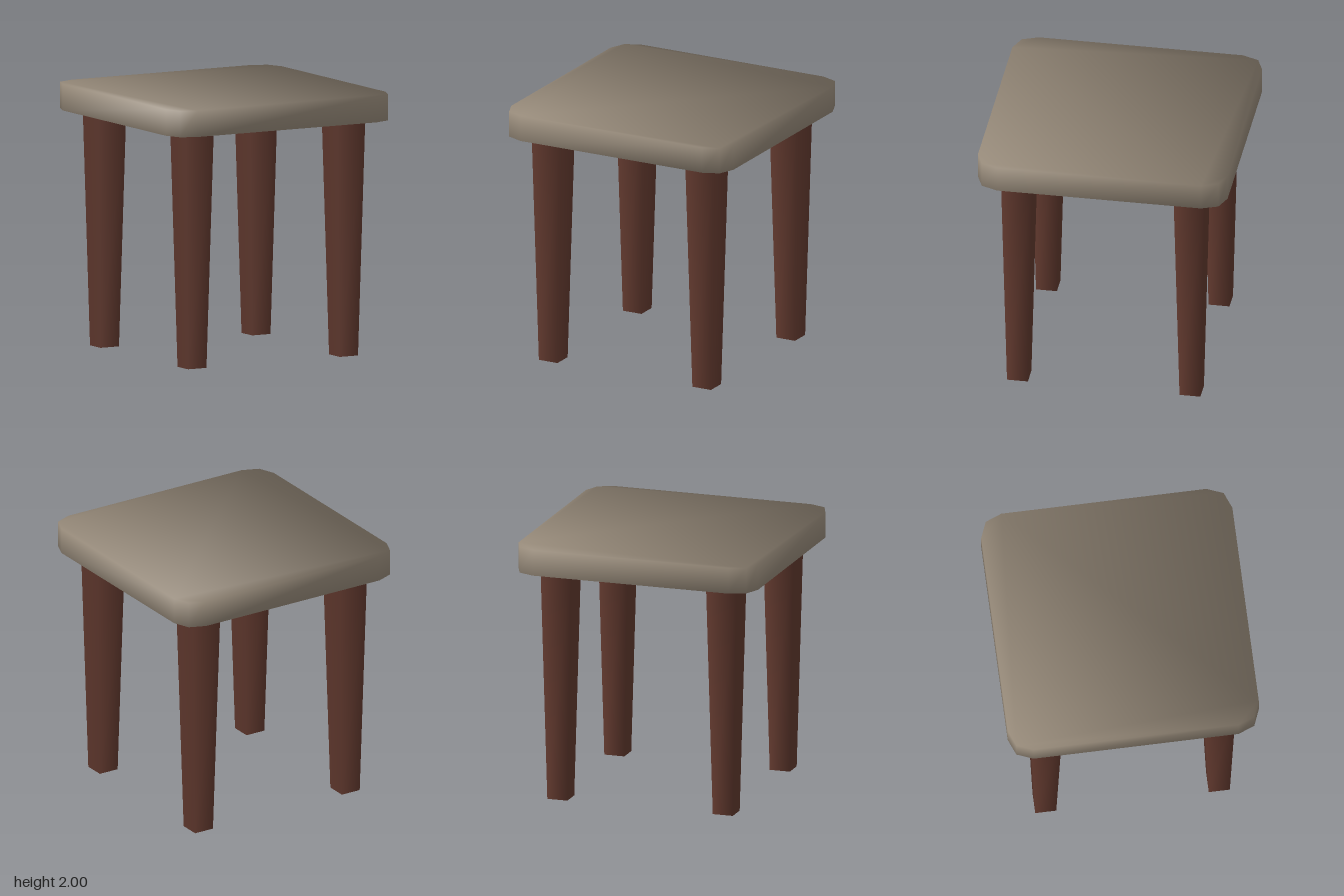
import * as THREE from 'three';

const SEAT_BOTTOM = 1.8, SEAT_TOP = 2;

// Slab with three-point rounded corners and soft, rim-weighted normals
function seatGeometry() {
  const corner = [[0.955, 0.78], [0.905, 0.905], [0.78, 0.955]];
  const ring = [];
  // Four corners, counterclockwise seen from above
  for (const [sx, sz] of [[1, -1], [-1, -1], [-1, 1], [1, 1]]) {
    const pts = sx * sz < 0 ? corner : [...corner].reverse();
    for (const [x, z] of pts) ring.push([sx * x, sz * z]);
  }
  const n = ring.length, pos = [], nor = [], idx = [];
  for (const [y, tilt] of [[SEAT_BOTTOM, -0.4], [SEAT_TOP, 0.4]]) {
    for (const [x, z] of ring) {
      pos.push(x, y, z);
      // fourth powers turn the normal towards the nearer side
      const v = new THREE.Vector3(x ** 3, 0, z ** 3).normalize();
      v.y = tilt;
      v.normalize();
      nor.push(v.x, v.y, v.z);
    }
  }
  // Side wall
  for (let i = 0; i < n; i++) {
    const j = (i + 1) % n;
    idx.push(i, j, n + j, i, n + j, n + i);
  }
  // Top and bottom: clip every second point, twice, leaving one large triangle
  const cap = (a, b, c) => idx.push(n + a, n + b, n + c, a, c, b);
  for (const step of [1, 2]) {
    for (let i = 0; i < n; i += 2 * step) cap(i, i + step, (i + 2 * step) % n);
  }
  cap(0, 4, 8);

  const g = new THREE.BufferGeometry();
  g.setAttribute('position', new THREE.Float32BufferAttribute(pos, 3));
  g.setAttribute('normal', new THREE.Float32BufferAttribute(nor, 3));
  g.setIndex(idx);
  return g;
}

export function createModel() {
  const group = new THREE.Group();
  const seatMaterial = new THREE.MeshStandardMaterial({ color: 0x9c8f7e });
  const legMaterial = new THREE.MeshStandardMaterial({ color: 0x633a2f });

  const seat = new THREE.Mesh(seatGeometry(), seatMaterial);
  seat.name = 'seat';
  group.add(seat);

  // Square legs, tapering towards the floor
  const legGeometry = new THREE.CylinderGeometry(0.12 * Math.SQRT2, 0.08 * Math.SQRT2, SEAT_BOTTOM, 4);
  legGeometry.rotateY(Math.PI / 4);
  for (const [side, sx] of [['Left', 1], ['Right', -1]]) {
    for (const [end, sz] of [['front', 1], ['back', -1]]) {
      const leg = new THREE.Mesh(legGeometry, legMaterial);
      leg.name = end + side + 'Leg';
      leg.position.set(sx * 0.66, SEAT_BOTTOM / 2, sz * 0.66);
      group.add(leg);
    }
  }
  return group;
}
